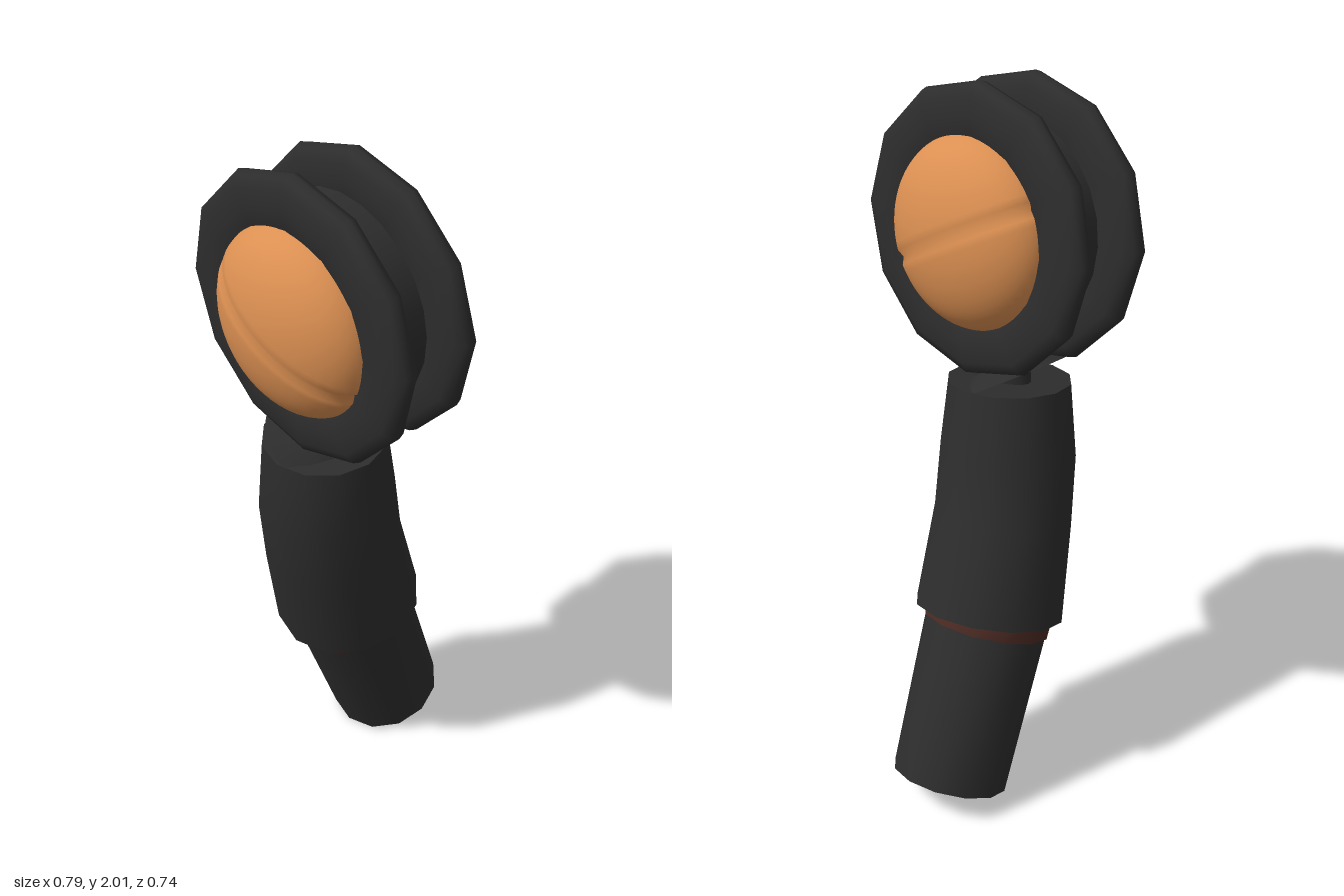
import * as THREE from 'three';

const dark = new THREE.MeshStandardMaterial({ color: 0x2d2d2d });
dark.name = 'darkRubber';
const orange = new THREE.MeshStandardMaterial({ color: 0xdc9052, side: THREE.DoubleSide });
orange.name = 'orangeLens';
const brown = new THREE.MeshStandardMaterial({ color: 0x4c2a23 });
brown.name = 'brownBand';

function add(parent, name, geometry, material) {
  const mesh = new THREE.Mesh(geometry, material);
  mesh.name = name;
  parent.add(mesh);
  return mesh;
}

// Capped tube through stations [x, y, z, radius], listed from bottom to top.
// Geometry groups: 0 side, 1 bottom cap, 2 top cap.
function loft(stations, sides = 12) {
  const centres = stations.map(s => new THREE.Vector3(s[0], s[1], s[2]));
  const up = new THREE.Vector3(0, 1, 0);
  const last = stations.length - 1;
  const pos = [], index = [];
  const ring = j => {
    const dir = centres[Math.min(j + 1, last)].clone().sub(centres[Math.max(j - 1, 0)]).normalize();
    const q = new THREE.Quaternion().setFromUnitVectors(up, dir);
    for (let i = 0; i < sides; i++) {
      const a = i / sides * Math.PI * 2, r = stations[j][3];
      const p = new THREE.Vector3(Math.cos(a) * r, 0, Math.sin(a) * r).applyQuaternion(q).add(centres[j]);
      pos.push(p.x, p.y, p.z);
    }
  };
  for (let j = 0; j <= last; j++) ring(j);
  for (let j = 0; j < last; j++) for (let i = 0; i < sides; i++) {
    const k = (i + 1) % sides;
    const a = j * sides + i, b = j * sides + k, c = a + sides, d = b + sides;
    index.push(a, c, b, b, c, d);
  }
  const g = new THREE.BufferGeometry();
  g.addGroup(0, index.length, 0);
  for (const [cap, j] of [[1, 0], [2, last]]) {
    const base = pos.length / 3, start = index.length;
    ring(j);
    pos.push(...centres[j].toArray());
    for (let i = 0; i < sides; i++) {
      const a = base + i, b = base + (i + 1) % sides;
      if (cap === 1) index.push(base + sides, a, b);
      else index.push(base + sides, b, a);
    }
    g.addGroup(start, index.length - start, cap);
  }
  g.setAttribute('position', new THREE.Float32BufferAttribute(pos, 3));
  g.setIndex(index);
  g.computeVertexNormals();
  return g;
}

// Half ellipsoid facing +z with a groove across its middle.
function domeGeometry(radius, depth) {
  const rows = 40, g = new THREE.SphereGeometry(1, 20, rows, 0, Math.PI);
  const p = g.attributes.position;
  for (let i = 0; i < p.count; i++) {
    const s = Math.abs(p.getY(i)) < 0.01 ? 0.95 : 1;
    p.setXYZ(i, p.getX(i) * radius * s, p.getY(i) * radius * s, p.getZ(i) * depth * s);
  }
  g.computeVertexNormals();
  return g;
}

// Rounded twelve-sided ring around z.
function ringGeometry() {
  const profile = [
    [0.23, -0.018], [0.26, -0.034], [0.31, -0.038], [0.36, -0.034], [0.388, -0.02], [0.395, 0],
    [0.388, 0.02], [0.36, 0.034], [0.31, 0.038], [0.26, 0.034], [0.23, 0.018], [0.23, -0.018],
  ].map(([r, y]) => new THREE.Vector2(r, y));
  return new THREE.LatheGeometry(profile, 12).rotateX(Math.PI / 2);
}

export function createModel() {
  const model = new THREE.Group();
  model.name = 'lamp';

  // Round head, tipped slightly forward
  const head = new THREE.Group();
  head.name = 'head';
  head.position.set(0, 1.605, 0.115);
  head.rotation.x = 0.045;
  model.add(head);

  add(head, 'centreDisc', new THREE.CylinderGeometry(0.29, 0.29, 0.1, 24).rotateX(Math.PI / 2), dark);
  for (const side of [1, -1]) {
    const end = side > 0 ? 'front' : 'back';
    add(head, end + 'Ring', ringGeometry(), dark).position.z = side * 0.1;
    const dome = add(head, end + 'Lens', domeGeometry(0.26, 0.147), orange);
    dome.position.z = side * 0.108;
    dome.rotation.set(0, side > 0 ? 0 : Math.PI, -0.49 * side);
  }

  // Flattened neck between the head and the sleeve
  const neck = add(model, 'neck', new THREE.CylinderGeometry(0.055, 0.055, 0.2, 16), dark);
  neck.scale.x = 1.9;
  neck.position.set(-0.01, 1.27, 0.1);

  // Curved sleeve with a sloping shoulder
  add(model, 'sleeve', loft([
    [-0.1, 0.525, -0.03, 0.212], [-0.077, 0.79, 0.045, 0.197],
    [-0.058, 0.98, 0.083, 0.193], [-0.046, 1.18, 0.1, 0.172],
  ]), [dark, brown, dark]);
  add(model, 'shoulder', loft([[-0.046, 1.18, 0.1, 0.172], [-0.025, 1.215, 0.1, 0.09]]), dark);

  // Straight lower tube and the band below the sleeve
  const top = [-0.1, 0.55, -0.022, 0.177], bottom = [-0.125, 0.05, -0.213, 0.166];
  add(model, 'lowerTube', loft([bottom, top]), dark);
  const along = (t, r) => [0, 1, 2].map(k => bottom[k] + (top[k] - bottom[k]) * t).concat(r);
  add(model, 'band', loft([along(0.87, 0.181), along(0.97, 0.183)]), brown);

  return model;
}
